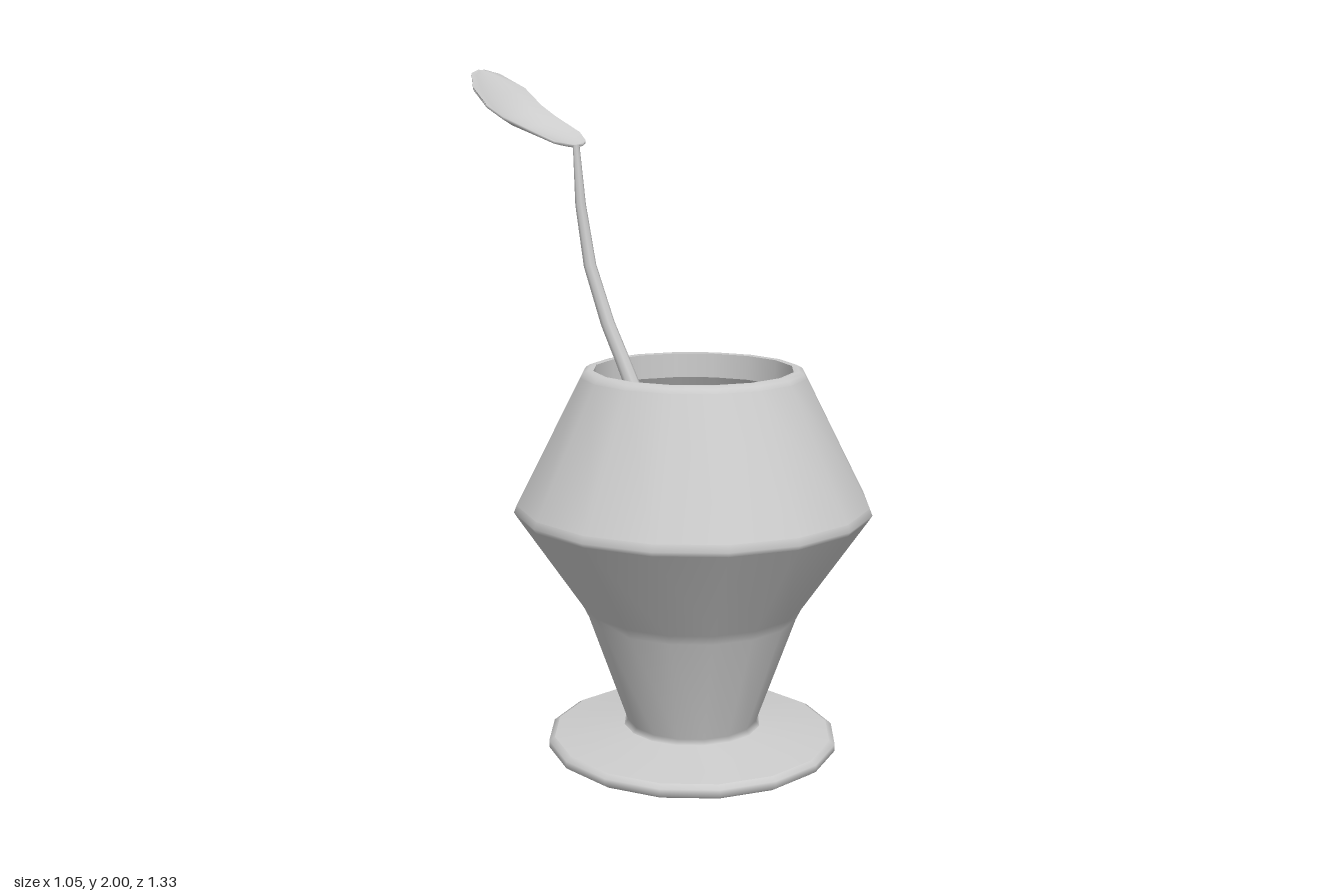
import * as THREE from 'three';

const SIDES = 16;
const CUP_Z = 0.14;

const material = () => new THREE.MeshStandardMaterial({ color: 0xcccccc, side: THREE.DoubleSide });

// Revolve several profiles; each one is smooth in itself, with a crease between them
function turned(name, profiles) {
  const group = new THREE.Group();
  group.name = name;
  profiles.forEach((points, i) => {
    const profile = points.map(([r, y]) => new THREE.Vector2(r, y));
    const mesh = new THREE.Mesh(new THREE.LatheGeometry(profile, SIDES), material());
    mesh.name = `${name}Section${i + 1}`;
    group.add(mesh);
  });
  group.position.z = CUP_Z;
  return group;
}

// Skin a row of closed rings and cap both ends
function loft(name, rings) {
  const n = rings[0].length;
  const positions = [];
  const index = [];
  const all = [...rings];
  const middle = (ring) => {
    const c = new THREE.Vector3();
    ring.forEach((p) => c.add(p));
    return c.divideScalar(n);
  };
  all.forEach((ring) => ring.forEach((p) => positions.push(p.x, p.y, p.z)));
  for (let i = 0; i < rings.length - 1; i++) {
    for (let j = 0; j < n; j++) {
      const a = i * n + j, b = i * n + (j + 1) % n;
      index.push(a, b, a + n, b, b + n, a + n);
    }
  }
  const start = positions.length / 3;
  const last = (rings.length - 1) * n;
  [rings[0], rings[rings.length - 1]].forEach((ring) => {
    const c = middle(ring);
    positions.push(c.x, c.y, c.z);
  });
  for (let j = 0; j < n; j++) {
    const k = (j + 1) % n;
    index.push(start, k, j, start + 1, last + j, last + k);
  }
  const geometry = new THREE.BufferGeometry();
  geometry.setAttribute('position', new THREE.Float32BufferAttribute(positions, 3));
  geometry.setIndex(index);
  geometry.computeVertexNormals();
  const mesh = new THREE.Mesh(geometry, material());
  mesh.name = name;
  return mesh;
}

// Curved tapering handle: stations of [y, z, radius]
function createHandle() {
  const stations = [
    [0.58, 0.145, 0.038], [0.64, 0.13, 0.034], [0.85, 0.03, 0.028], [1.05, -0.07, 0.024],
    [1.15, -0.12, 0.022], [1.25, -0.172, 0.021], [1.42, -0.238, 0.019],
    [1.6, -0.272, 0.016], [1.775, -0.287, 0.01],
  ];
  const centres = stations.map(([y, z]) => new THREE.Vector3(0, y, z));
  const side = new THREE.Vector3(1, 0, 0);
  const rings = centres.map((c, i) => {
    const before = centres[Math.max(i - 1, 0)];
    const after = centres[Math.min(i + 1, centres.length - 1)];
    const up = after.clone().sub(before).normalize().cross(side);
    return Array.from({ length: 8 }, (_, j) => {
      const a = (j / 8) * Math.PI * 2, r = stations[i][2];
      return c.clone().addScaledVector(side, r * Math.cos(a)).addScaledVector(up, r * Math.sin(a));
    });
  });
  return loft('spoonHandle', rings);
}

// Shallow bowl: stations of [z, half width, rim height, depth]
function createBowl() {
  const stations = [
    [-0.297, 0.04, 1.78, 0.004], [-0.315, 0.075, 1.788, 0.008], [-0.36, 0.103, 1.812, 0.02],
    [-0.47, 0.124, 1.858, 0.032], [-0.53, 0.127, 1.892, 0.034], [-0.59, 0.12, 1.945, 0.024],
    [-0.645, 0.065, 1.988, 0.008], [-0.663, 0.012, 2.0, 0.002],
  ];
  const steps = [1, 0.67, 0.33, 0, -0.33, -0.67, -1];
  const rings = stations.map(([z, w, y, depth]) => {
    const row = (drop) => steps.map((s) =>
      new THREE.Vector3(0.006 + s * w, y - depth * (1 - s * s) - drop, z));
    return [...row(0.008), ...row(0).reverse()];
  });
  return loft('spoonBowl', rings);
}

export function createModel() {
  const model = new THREE.Group();
  model.name = 'cupWithSpoon';

  // Round foot plate
  model.add(turned('foot', [
    [[0, 0], [0.415, 0]],
    [[0.415, 0], [0.432, 0.012], [0.432, 0.032], [0.415, 0.042]],
    [[0.415, 0.042], [0.205, 0.07]],
  ]));

  // Outer wall, rolled rim and hollow inside
  model.add(turned('cup', [
    [[0.205, 0.07], [0.195, 0.085], [0.31, 0.41], [0.325, 0.44], [0.518, 0.722]],
    [[0.518, 0.722], [0.526, 0.735], [0.518, 0.755]],
    [[0.518, 0.755], [0.33, 1.125]],
    [[0.33, 1.125], [0.323, 1.137], [0.308, 1.145], [0.292, 1.143]],
    [[0.292, 1.143], [0.29, 1.07]],
    [[0.29, 1.07], [0.49, 0.74]],
    [[0.49, 0.74], [0.285, 0.42], [0.195, 0.15]],
    [[0.195, 0.15], [0, 0.15]],
  ]));

  // Spoon leaning out over the back of the rim
  const spoon = new THREE.Group();
  spoon.name = 'spoon';
  spoon.add(createHandle(), createBowl());
  model.add(spoon);

  return model;
}
